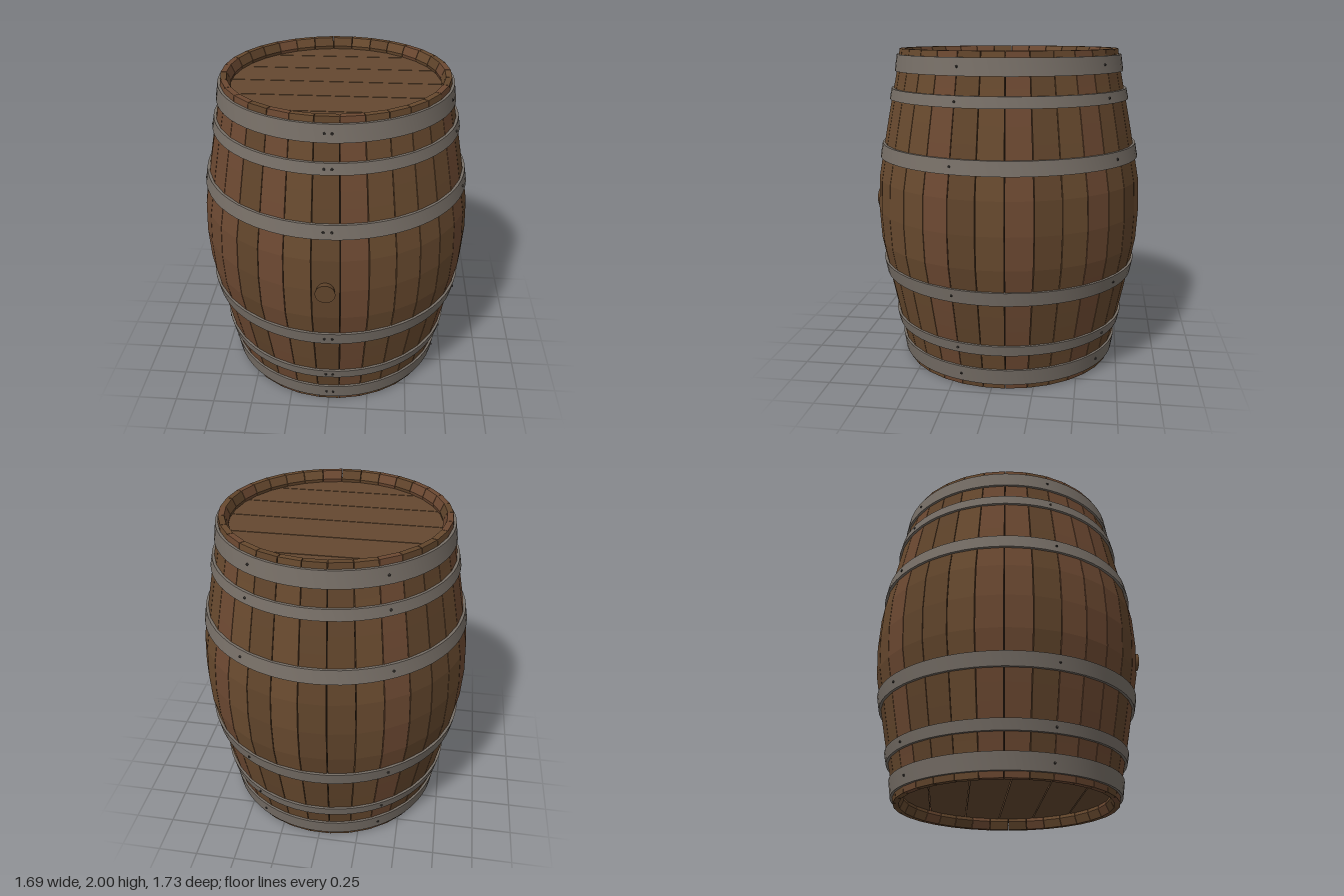
import * as THREE from 'three';
import { toCreasedNormals } from 'three/addons/utils/BufferGeometryUtils.js';

const mat = (name, color, side = THREE.FrontSide) => {
  const m = new THREE.MeshStandardMaterial({ color, side });
  m.name = name;
  return m;
};

// Outer radius of the barrel at height y (symmetric about y = 1)
const KEYS = [[0, 0.848], [0.2, 0.838], [0.37, 0.806], [0.55, 0.772], [0.73, 0.735], [0.88, 0.702], [1, 0.685]];
function bodyRadius(y) {
  const d = Math.min(1, Math.abs(y - 1));
  let i = 0;
  while (i < KEYS.length - 2 && d > KEYS[i + 1][0]) i++;
  const [d0, r0] = KEYS[i], [d1, r1] = KEYS[i + 1];
  return r0 + (r1 - r0) * (d - d0) / (d1 - d0);
}

// Sweep an (r, y) outline through a flat wedge between two angles
function wedge(shape, a0, a1) {
  const g = new THREE.ExtrudeGeometry(shape, { depth: 1, bevelEnabled: false });
  const p = g.attributes.position;
  for (let i = 0; i < p.count; i++) {
    const r = p.getX(i), a = a1 + (a0 - a1) * p.getZ(i);
    p.setXYZ(i, r * Math.sin(a), p.getY(i), r * Math.cos(a));
  }
  g.computeVertexNormals();
  return g;
}

export function createModel() {
  const root = new THREE.Group();
  root.name = 'barrel';
  const body = new THREE.Group();
  body.name = 'barrelBody';
  body.position.z = -0.016;
  root.add(body);

  const woods = [mat('oak', 0x67492e), mat('darkOak', 0x60442b), mat('redOak', 0x6b4831)];
  const headWood = mat('headOak', 0x644830);
  const metal = mat('hoopIron', 0x766e66);
  const rivetIron = mat('rivetIron', 0x3b3733);
  const gapDark = mat('seamShadow', 0x17110b, THREE.DoubleSide);

  const add = (name, geometry, material, parent = body) => {
    const m = new THREE.Mesh(geometry, material);
    m.name = name;
    parent.add(m);
    return m;
  };

  // Staves: bulged outside, hollow inside, chamfered at both rims
  const outer = [], inner = [];
  for (let i = 0; i <= 20; i++) outer.push(new THREE.Vector2(bodyRadius(i / 10), i / 10));
  for (let i = 19; i >= 1; i--) inner.push(new THREE.Vector2(bodyRadius(i / 10) - 0.06, i / 10));
  const staveShape = new THREE.Shape([
    ...outer, new THREE.Vector2(0.65, 2), new THREE.Vector2(0.628, 1.95),
    ...inner, new THREE.Vector2(0.628, 0.05), new THREE.Vector2(0.65, 0),
  ]);
  const STAVES = 32, step = Math.PI * 2 / STAVES, halfGap = 0.0028;
  let seed = 11;
  for (let i = 0; i < STAVES; i++) {
    seed = (seed * 73 + 41) % 1009;
    const a = (i - 0.5) * step;
    add('stave', wedge(staveShape, a + halfGap, a + step - halfGap), woods[seed % 3]);
  }

  // Dark lining seen through the seams
  const lining = [];
  for (let i = 0; i <= 18; i++) {
    const y = 0.05 + i * 1.9 / 18;
    lining.push(new THREE.Vector2(bodyRadius(y) - 0.025, y));
  }
  add('seamLining', new THREE.LatheGeometry(lining, STAVES, -step / 2), gapDark);

  // Heads: planks cut to the circle, with narrow gaps
  const R = 0.645, cuts = [-R, -0.47, -0.235, -0.003, 0.227, 0.455, R];
  for (const [name, y] of [['topHead', 1.89], ['bottomHead', 0.07]]) {
    const head = new THREE.Group();
    head.name = name;
    head.position.y = y;
    body.add(head);
    for (let k = 0; k < cuts.length - 1; k++) {
      const z0 = cuts[k] + 0.003, z1 = cuts[k + 1] - 0.003, right = [];
      for (let j = 0; j <= 8; j++) {
        const z = z0 + (z1 - z0) * j / 8;
        right.push(new THREE.Vector2(Math.sqrt(R * R - z * z), -z));
      }
      const left = right.map(v => new THREE.Vector2(-v.x, v.y)).reverse();
      const g = new THREE.ExtrudeGeometry(new THREE.Shape([...right, ...left]), { depth: 0.04, bevelEnabled: false });
      g.rotateX(-Math.PI / 2);
      add('headPlank', g, headWood, head);
    }
  }

  // Iron hoops with rivets, mirrored top and bottom
  const rivetAngles = [-0.9, 2.4, 73.5, 148, 212, 286.5].map(THREE.MathUtils.degToRad);
  const hoops = [[0.335, 0.42], [0.695, 0.76], [0.865, 0.965]];
  for (const s of [1, -1]) for (const [d0, d1] of hoops) {
    const y0 = 1 + Math.min(s * d0, s * d1), y1 = 1 + Math.max(s * d0, s * d1);
    const r0 = bodyRadius(y0), r1 = bodyRadius(y1), t = 0.014;
    const profile = [[r0 - 0.012, y0], [r0 + t, y0], [r1 + t, y1], [r1 - 0.012, y1]]
      .map(([r, y]) => new THREE.Vector2(r, y));
    add('hoop', toCreasedNormals(new THREE.LatheGeometry(profile, 64), 0.6), metal);
    const ym = (y0 + y1) / 2, rm = (r0 + r1) / 2 + t;
    for (const a of rivetAngles) {
      const rivet = add('rivet', new THREE.CylinderGeometry(0.006, 0.009, 0.012, 10).rotateX(Math.PI / 2), rivetIron);
      rivet.position.set(rm * Math.sin(a), ym, rm * Math.cos(a));
      rivet.rotation.y = a;
    }
  }

  // Flared bung plug at the front
  const bung = add('bung', new THREE.CylinderGeometry(0.059, 0.046, 0.07, 24).rotateX(Math.PI / 2), woods[1], root);
  bung.position.set(0, 1.005, 0.831);

  return root;
}
